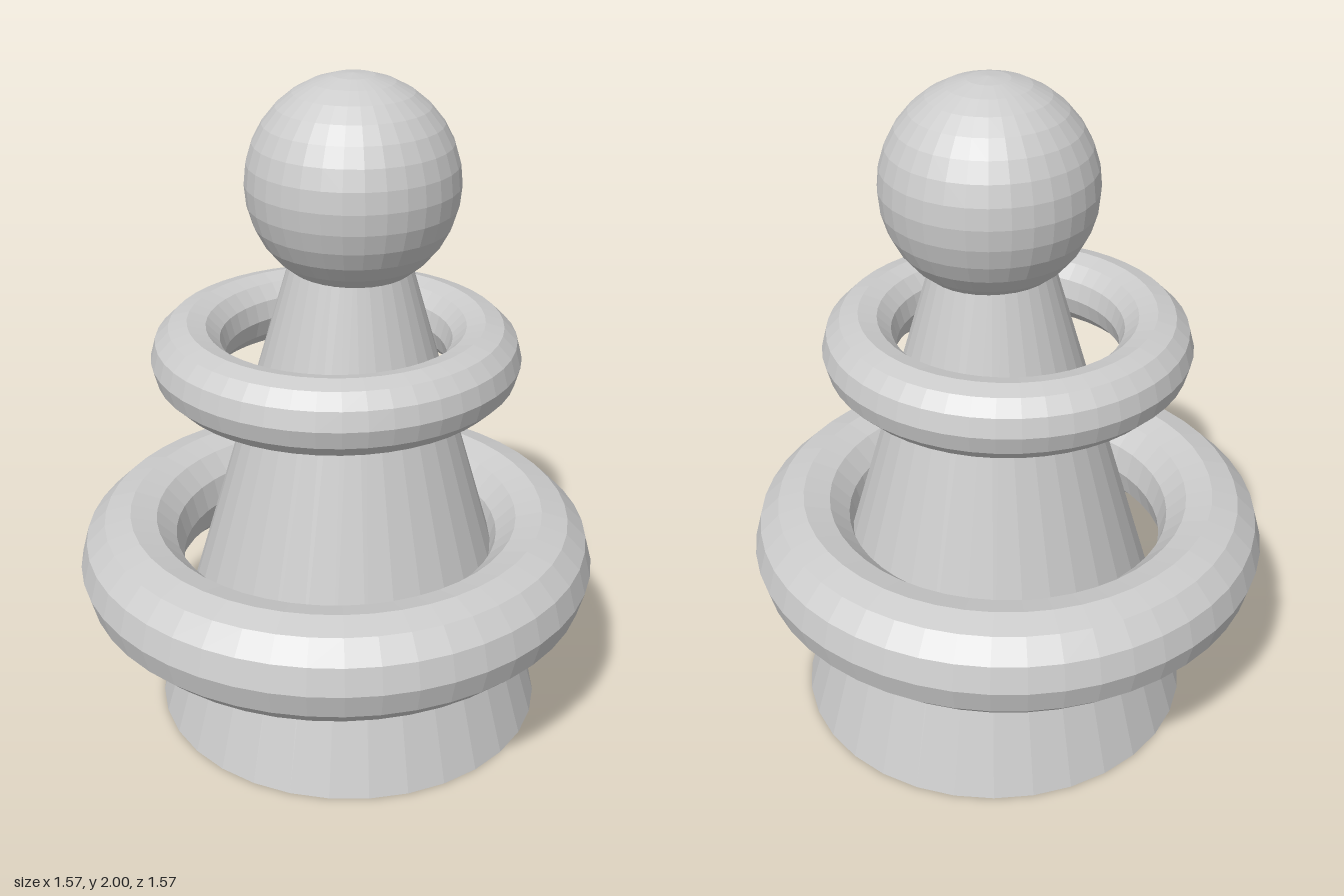
import * as THREE from 'three';

export function createModel() {
  const model = new THREE.Group();
  model.name = 'ringStackingToy';
  const material = new THREE.MeshStandardMaterial({ color: 0xcccccc, flatShading: true });

  function add(name, geometry, x, y, z) {
    const mesh = new THREE.Mesh(geometry, material);
    mesh.name = name;
    mesh.position.set(x, y, z);
    model.add(mesh);
  }

  // Tapered post, standing slightly off the ring axis; its top ends inside the ball
  const postHeight = 1.6;
  add('post', new THREE.CylinderGeometry(0.135, 0.602, postHeight, 32), 0.06, postHeight / 2, -0.01);

  // Ball on top of the post
  add('ball', new THREE.SphereGeometry(0.307, 32, 16), 0.061, 1.693, 0);

  // Loose rings around the post
  const rings = [
    { name: 'lowerRing', radius: 0.628, tube: 0.157, y: 0.532 },
    { name: 'upperRing', radius: 0.432, tube: 0.108, y: 1.192 },
  ];
  for (const { name, radius, tube, y } of rings) {
    add(name, new THREE.TorusGeometry(radius, tube, 12, 48).rotateX(Math.PI / 2), 0, y, 0);
  }
  return model;
}
